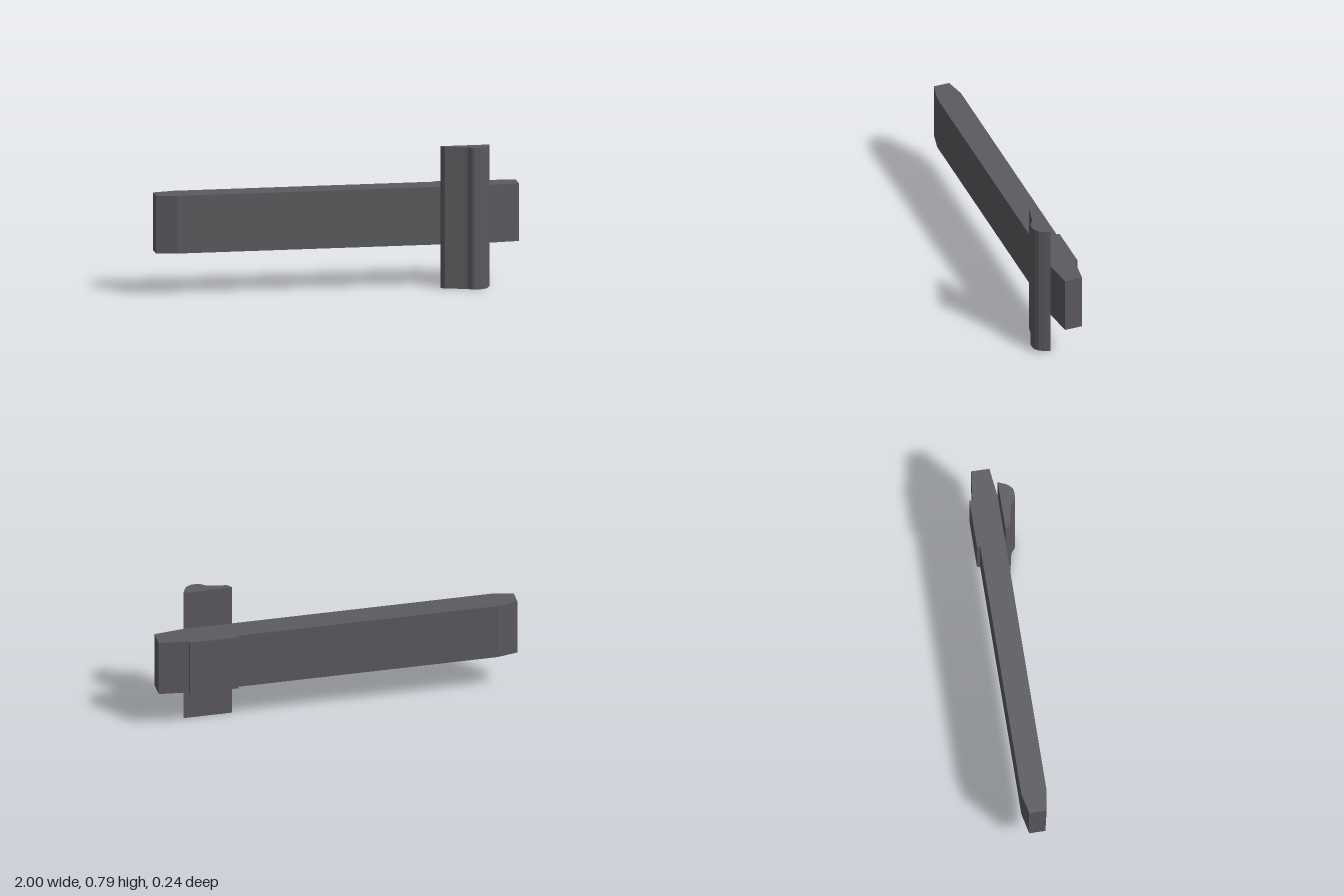
import * as THREE from 'three';

// Extrude a plan outline of [x, z] points upward from y0 to y1
function prism(name, outline, y0, y1, material) {
  const shape = new THREE.Shape(outline.map(([x, z]) => new THREE.Vector2(x, -z)));
  const geometry = new THREE.ExtrudeGeometry(shape, { depth: y1 - y0, bevelEnabled: false });
  geometry.rotateX(-Math.PI / 2);
  geometry.translate(0, y0, 0);
  const mesh = new THREE.Mesh(geometry, material);
  mesh.name = name;
  return mesh;
}

export function createModel() {
  const group = new THREE.Group();
  group.name = 'slidingBarLatch';
  const darkGrey = new THREE.MeshStandardMaterial({ color: 0x5c5a5f });
  darkGrey.name = 'darkGrey';

  // Long bar with tapered ends and a raised pad on its back
  group.add(prism('bar', [
    [-1, 0.013], [-0.885, 0.038], [0.835, 0.038], [1, 0.018],
    [1, -0.082], [0.835, -0.101], [0.835, -0.118], [0.563, -0.118],
    [0.563, -0.101], [-0.885, -0.101], [-1, -0.076],
  ], 0.24, 0.56, darkGrey));

  // Upright grip across the front, with a ridge toward one side
  group.add(prism('grip', [
    [0.563, 0.038], [0.572, 0.056], [0.585, 0.068], [0.69, 0.09], [0.705, 0.096],
    [0.722, 0.112], [0.737, 0.118], [0.77, 0.118], [0.788, 0.112],
    [0.807, 0.097], [0.82, 0.074], [0.835, 0.038],
  ], 0, 0.785, darkGrey));

  return group;
}
